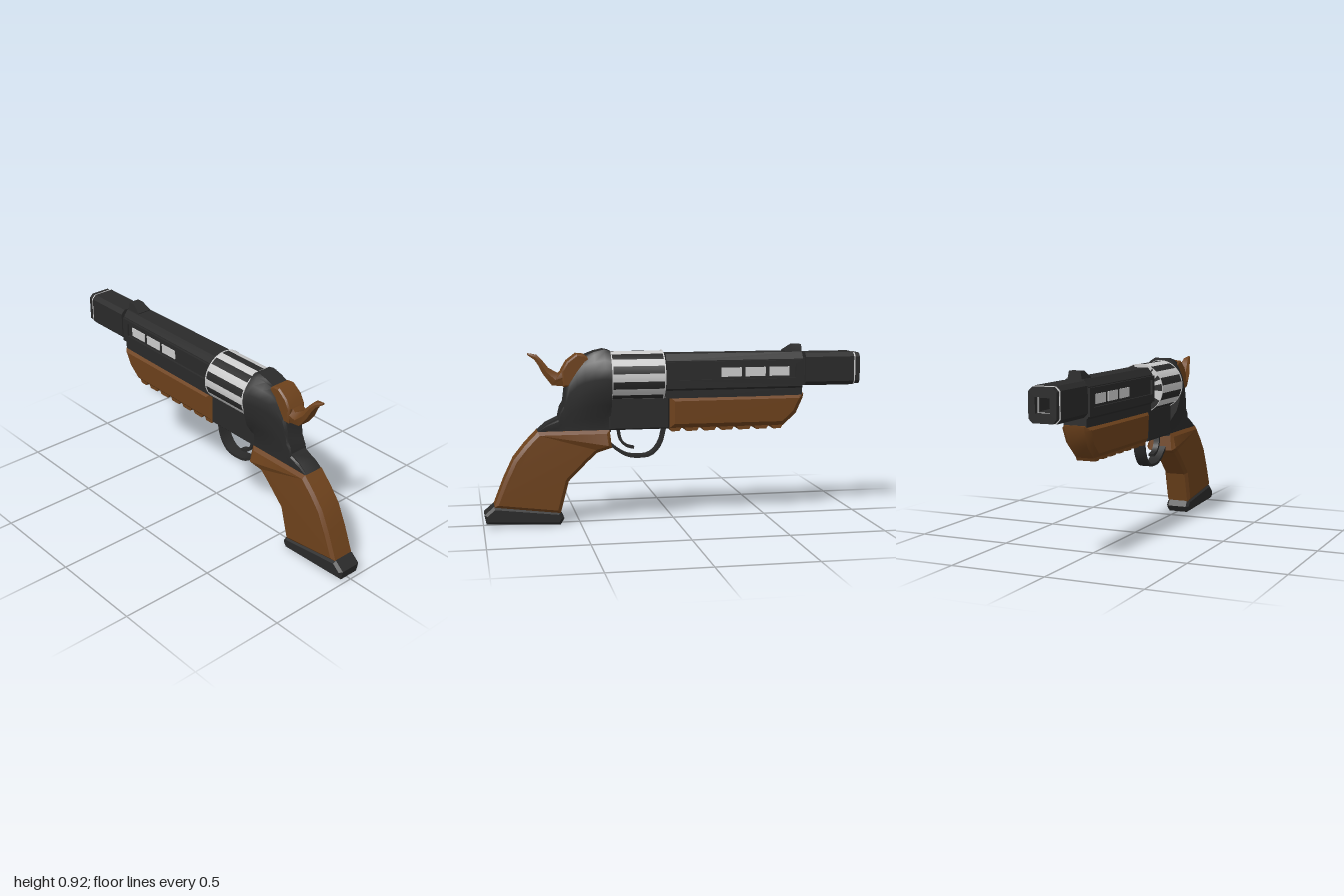
import * as THREE from 'three';
import { toCreasedNormals } from 'three/addons/utils/BufferGeometryUtils.js';

const material = (color) => new THREE.MeshStandardMaterial({ color });
const DARK = material(0x2a2a2a);
const WOOD = material(0x6e421c);
const SILVER = material(0xcccccc);

export function createModel() {
  const model = new THREE.Group();

  const add = (name, geometry, mat, crease = 0.5) => {
    const mesh = new THREE.Mesh(toCreasedNormals(geometry, crease), mat);
    mesh.name = name;
    model.add(mesh);
    return mesh;
  };
  const box = (name, x0, x1, y0, y1, z0, z1, mat) =>
    add(name, new THREE.BoxGeometry(x1 - x0, y1 - y0, z1 - z0)
      .translate((x0 + x1) / 2, (y0 + y1) / 2, (z0 + z1) / 2), mat);

  const outline = (pts) => new THREE.Shape(pts.map(([x, y]) => new THREE.Vector2(x, y)));

  // Side outline extruded across the width, with an inset chamfer on both faces
  const slab = (pts, half, inset = 0, drop = inset) => {
    const core = half - (inset ? drop : 0);
    return new THREE.ExtrudeGeometry(outline(pts), {
      depth: core * 2, bevelEnabled: inset > 0, bevelSize: inset, bevelOffset: -inset,
      bevelThickness: drop, bevelSegments: 1, curveSegments: 8,
    }).translate(0, 0, -core);
  };

  // Move vertices by a rule
  const warp = (geometry, rule) => {
    const p = geometry.attributes.position;
    const v = new THREE.Vector3();
    for (let i = 0; i < p.count; i++) {
      rule(v.fromBufferAttribute(p, i));
      p.setXYZ(i, v.x, v.y, v.z);
    }
    geometry.computeVertexNormals();
    return geometry;
  };

  // Skin over mirrored half sections, each listed from top to bottom as [x, y, z]
  const loft = (halves) => {
    const rings = halves.map((h) => [...h, ...h.map(([x, y, z]) => [x, y, -z]).reverse()]);
    const n = rings[0].length, last = (rings.length - 1) * n, index = [];
    for (let i = 0; i < rings.length - 1; i++) {
      for (let k = 0; k < n; k++) {
        const a = i * n + k, b = i * n + (k + 1) % n;
        index.push(a, b, a + n, b, b + n, a + n);
      }
    }
    for (let k = 1; k < n - 1; k++) index.push(0, k + 1, k, last, last + k, last + k + 1);
    const g = new THREE.BufferGeometry();
    g.setAttribute('position', new THREE.Float32BufferAttribute(rings.flat(2), 3));
    g.setIndex(index);
    g.computeVertexNormals();
    return g;
  };

  // Muzzle block: chamfered square tube with a square bore
  const tube = (name, x0, x1, r, hole, mat) => {
    const c = r * 0.72, h = r * 1.14, d = h - r * 0.28;
    const s = outline([[-r, -d], [-c, -h], [c, -h], [r, -d], [r, d], [c, h], [-c, h], [-r, d]]);
    s.holes.push(new THREE.Path([[-hole, -hole], [-hole, hole], [hole, hole], [hole, -hole]]
      .map(([x, y]) => new THREE.Vector2(x, y))));
    add(name, new THREE.ExtrudeGeometry(s, { depth: x1 - x0, bevelEnabled: false })
      .rotateY(Math.PI / 2).translate(x0, 0.788, 0), mat);
  };
  tube('muzzleTip', -1, -0.974, 0.072, 0.038, DARK);
  tube('muzzleRing', -0.974, -0.966, 0.075, 0.036, SILVER);
  tube('muzzleBlock', -0.966, -0.7, 0.076, 0.03, DARK);
  box('muzzleNeck', -0.72, -0.67, 0.73, 0.85, -0.055, 0.055, DARK);

  // Barrel shroud widening toward the rear
  const widen = (x) => 0.93 + 0.12 * (x + 0.68) / 0.73;
  const shroudHalf = [[0.88, 0.05], [0.845, 0.075], [0.7, 0.075], [0.69, 0.066], [0.65, 0.066]];
  add('barrelShroud', loft([-0.685, 0.05].map((x) =>
    shroudHalf.map(([y, z]) => [x, y, z * widen(x)]))), DARK, 0.3);

  // Side panels with a long window, and bright vents inside it
  for (const side of [1, -1]) {
    const panel = outline([[-0.685, 0.705], [0.05, 0.705], [0.05, 0.84], [-0.685, 0.84]]);
    panel.holes.push(new THREE.Path([[-0.645, 0.745], [-0.645, 0.82], [0.02, 0.82], [0.02, 0.745]]
      .map(([x, y]) => new THREE.Vector2(x, y))));
    const g = new THREE.ExtrudeGeometry(panel, { depth: 0.012, bevelEnabled: false })
      .translate(0, 0, side > 0 ? 0.074 : -0.086);
    add('sidePanel', warp(g, (v) => { v.z *= widen(v.x); }), DARK);
    for (let i = 0; i < 3; i++) {
      const x = -0.61 + i * 0.13, z = side * 0.075 * widen(x + 0.05);
      box('vent', x, x + 0.108, 0.758, 0.806, z - 0.004, z + 0.004, SILVER);
    }
  }

  // Front sight
  add('frontSight', warp(slab([[-0.685, 0.87], [-0.595, 0.87], [-0.595, 0.885], [-0.645, 0.918],
    [-0.685, 0.918]], 0.04), (v) => { if (v.y > 0.9) v.z *= 0.75; }), DARK);

  // Wooden fore-end with cross ribs beneath
  add('foreEnd', warp(slab([[-0.695, 0.66], [-0.69, 0.635], [-0.655, 0.555], [-0.585, 0.49],
    [0.03, 0.49], [0.03, 0.66]], 0.076, 0.025), (v) => {
    v.z *= 1 + (v.y - 0.6) * 0.6;
  }), WOOD);
  for (let i = 0; i < 7; i++) {
    const x0 = i ? -0.6 + i * 0.094 : -0.585;
    const x1 = i < 6 ? -0.52 + i * 0.094 : 0.03;
    add('foreEndRib', slab([[x0, 0.495], [x0 + 0.012, 0.474], [x1 - 0.012, 0.474], [x1, 0.495]], 0.05), WOOD);
  }

  // Revolver drum: dark core, bright bands and end rims
  const drum = (name, x0, x1, r, mat, open = false, start = 0, arc = Math.PI * 2, seg = 40) =>
    add(name, new THREE.CylinderGeometry(r, r, x1 - x0, seg, 1, open, start, arc)
      .rotateZ(Math.PI / 2).translate((x0 + x1) / 2, 0.767, 0), mat);
  drum('drumCore', 0.06, 0.338, 0.128, DARK);
  for (let i = 0; i < 10; i++) {
    drum('drumBand', 0.066, 0.332, 0.1305, SILVER, true, (i * 36 - 9) * Math.PI / 180, Math.PI / 10, 3);
  }
  drum('drumFrontRim', 0.06, 0.066, 0.131, SILVER);
  drum('drumRearRim', 0.332, 0.338, 0.131, SILVER);

  // Frame under the drum
  add('frame', slab([[0.03, 0.49], [0.35, 0.49], [0.35, 0.66], [0.03, 0.66]], 0.06, 0.008), DARK);

  // Rear frame flowing from the round shield into the tang: [x, top, half width]
  const profile = [[1, 0.4], [0.965, 0.55], [0.88, 0.78], [0.78, 0.97], [0.66, 1], [0.5, 0.86], [0.34, 0.6], [0.18, 0], [0, 0]];
  add('rearFrame', loft([
    [0.338, 0.9, 0.126], [0.37, 0.908, 0.116], [0.42, 0.897, 0.098], [0.47, 0.878, 0.08],
    [0.51, 0.845, 0.067], [0.55, 0.79, 0.06], [0.57, 0.72, 0.057], [0.58, 0.64, 0.056],
    [0.597, 0.61, 0.056], [0.608, 0.56, 0.056], [0.67, 0.53, 0.056], [0.715, 0.492, 0.055],
  ].map(([x, top, w]) => profile.map(([f, k], i) => {
    const thin = 0.054;
    const z = i < 3 ? Math.max(w * k, 0.046) : thin + (w - thin) * k;
    return [x, 0.48 + f * (top - 0.48), z];
  }))), DARK, 0.6);

  // Hammer block and curved spur
  add('hammer', slab([[0.44, 0.86], [0.47, 0.882], [0.51, 0.886], [0.56, 0.848], [0.588, 0.8],
    [0.58, 0.72], [0.53, 0.72]], 0.054, 0.008), WOOD);
  add('hammerSpur', loft([
    [0.56, 0.83, 0.56, 0.72, 0.05], [0.602, 0.785, 0.638, 0.728, 0.048], [0.65, 0.812, 0.678, 0.78, 0.04],
    [0.682, 0.853, 0.705, 0.832, 0.03], [0.71, 0.882, 0.725, 0.86, 0.022], [0.757, 0.892, 0.758, 0.882, 0.006],
  ].map(([ux, uy, lx, ly, w]) => [
    [ux, uy, w * 0.6], [(ux + lx) / 2, (uy + ly) / 2, w], [lx, ly, w * 0.75],
  ])), WOOD, 0.7);

  // Trigger guard and trigger as bent ribbons
  const ribbon = (name, pts, t, half) => {
    const curve = new THREE.CatmullRomCurve3(pts.map(([x, y]) => new THREE.Vector3(x, y, 0)));
    const edge = (s) => Array.from({ length: 17 }, (_, i) => {
      const p = curve.getPoint(i / 16), d = curve.getTangent(i / 16);
      return [p.x - d.y * s, p.y + d.x * s];
    });
    add(name, slab([...edge(-t), ...edge(t).reverse()], half), DARK);
  };
  ribbon('triggerGuard', [[0.05, 0.495], [0.075, 0.405], [0.125, 0.352], [0.19, 0.343], [0.25, 0.352],
    [0.305, 0.385], [0.345, 0.42]], 0.007, 0.032);
  ribbon('trigger', [[0.212, 0.388], [0.25, 0.4], [0.28, 0.43], [0.295, 0.495]], 0.007, 0.016);

  // Wooden grip, flared at its front corner
  add('grip', warp(slab([[0.335, 0.4], [0.41, 0.375], [0.46, 0.33], [0.56, 0.23], [0.605, 0.06],
    [0.945, 0.105], [0.89, 0.245], [0.84, 0.35], [0.78, 0.425], [0.715, 0.492], [0.345, 0.492]], 0.07, 0.018, 0.014),
  (v) => {
    if (Math.hypot(v.x - 0.34, v.y - 0.4) < 0.05) v.z *= 1.22;
  }), WOOD, 0.3);

  // Butt cap
  add('buttCap', slab([[0.585, 0.035], [0.605, 0.07], [0.945, 0.11], [0.995, 0.067], [0.985, 0.018],
    [0.605, 0.002]], 0.068, 0.014), DARK);

  return model;
}
